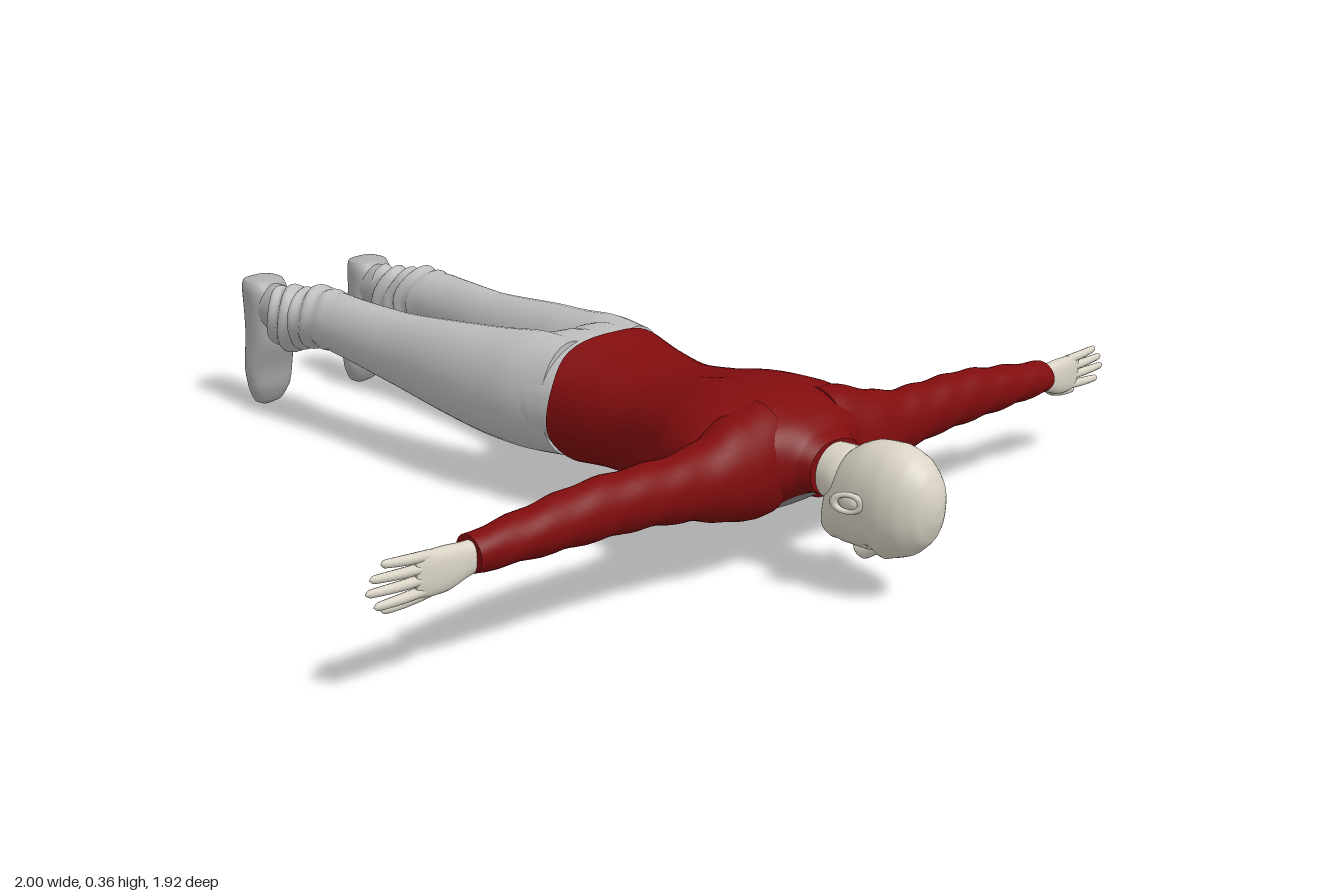
import * as THREE from 'three';

const mat = (name, color) => {
  const m = new THREE.MeshStandardMaterial({ color, side: THREE.DoubleSide });
  m.name = name;
  return m;
};

const AXES = { x: ['x', 'y', 'z'], y: ['y', 'z', 'x'], z: ['z', 'x', 'y'] };

// Smooth loft of oval rings along an axis.
// Each section is [x, y, z, radiusU, radiusV]; u,v are y,z for x, z,x for y and x,y for z.
function loft(axis, sections, { seg = 32, steps = 6, power = 2, bend, paint } = {}) {
  const [n, u, v] = AXES[axis];
  const rows = (sections.length - 1) * steps;
  const centre = new THREE.CatmullRomCurve3(sections.map(s => new THREE.Vector3(s[0], s[1], s[2])));
  const radii = new THREE.CatmullRomCurve3(sections.map(s => new THREE.Vector3(s[3], s[4], 0)));
  const pos = [], p = new THREE.Vector3();
  const add = q => pos.push(q.x, q.y, q.z);
  const round = t => Math.sign(t) * Math.abs(t) ** (2 / power);
  const ring = i => {
    const c = centre.getPoint(i / rows), r = radii.getPoint(i / rows);
    for (let j = 0; j < seg; j++) {
      const a = (j / seg) * Math.PI * 2;
      p.copy(c);
      p[u] += Math.max(r.x, 0.0005) * round(Math.cos(a));
      p[v] += Math.max(r.y, 0.0005) * round(Math.sin(a));
      if (bend) bend(p, a, c);
      add(p);
    }
    return c;
  };
  for (let i = 0; i <= rows; i++) ring(i);
  const lists = [[], []];
  const flip = centre.getPoint(1)[n] < centre.getPoint(0)[n];
  const tri = (k, a, b, c) => lists[k].push(a, flip ? c : b, flip ? b : c);
  for (let i = 0; i < rows; i++) for (let j = 0; j < seg; j++) {
    const k = paint && paint((j + 0.5) / seg * Math.PI * 2) ? 1 : 0;
    const a = i * seg + j, b = i * seg + (j + 1) % seg;
    tri(k, a, b, a + seg);
    tri(k, b, b + seg, a + seg);
  }
  // end caps with their own vertices, so that rims stay sharp
  for (const i of [0, rows]) {
    const start = pos.length / 3;
    add(ring(i));
    for (let j = 0; j < seg; j++) {
      const a = start + j, b = start + (j + 1) % seg;
      i ? tri(0, a, b, start + seg) : tri(0, b, a, start + seg);
    }
  }
  const g = new THREE.BufferGeometry();
  g.setAttribute('position', new THREE.Float32BufferAttribute(pos, 3));
  g.setIndex([...lists[0], ...lists[1]]);
  if (paint) {
    g.addGroup(0, lists[0].length, 0);
    g.addGroup(lists[0].length, lists[1].length, 1);
  }
  g.computeVertexNormals();
  return g;
}

const bump = (d, w) => Math.exp(-(d * d) / (w * w));

export function createModel() {
  const model = new THREE.Group();
  const skin = mat('skin', 0xd9d3c5);
  const jacket = mat('jacket red', 0x800c0e);
  const trousers = mat('trouser grey', 0xbdbdbd);
  const shoe = mat('shoe grey', 0xacacac);
  const shirt = mat('shirt grey', 0x909090);
  const put = (name, geo, m, parent = model) => {
    const mesh = new THREE.Mesh(geo, m);
    mesh.name = name;
    parent.add(mesh);
    return mesh;
  };
  const ball = (name, x, y, z, rx, ry, rz, parent) => {
    const mesh = put(name, new THREE.SphereGeometry(1, 20, 14), skin, parent);
    mesh.position.set(x, y, z);
    mesh.scale.set(rx, ry, rz);
    return mesh;
  };

  // Jacket body, with the open front showing a strip of shirt
  put('jacketBody', loft('z', [
    [0, 0.225, 0.125, 0.181, 0.137], [0, 0.218, 0.2, 0.165, 0.124], [0, 0.21, 0.3, 0.153, 0.117],
    [0, 0.21, 0.4, 0.178, 0.123], [0, 0.213, 0.48, 0.215, 0.132], [0, 0.218, 0.56, 0.235, 0.125],
    [0, 0.224, 0.62, 0.215, 0.105], [0, 0.23, 0.67, 0.15, 0.075], [0, 0.226, 0.7, 0.085, 0.058],
    [0, 0.22, 0.725, 0.07, 0.052],
  ], {
    seg: 48, power: 2.25,
    bend: (p, a) => {
      p.z += 0.006 * Math.sin(a * 5) * bump(p.z - 0.125, 0.05);
      p.y -= 0.008 * bump(p.x, 0.03) * (p.y > 0.25 ? 1 : 0) * bump(p.z - 0.42, 0.2);
    },
    paint: a => Math.abs(a - Math.PI * 1.5) < 0.25,
  }), [jacket, shirt]);

  // Neck and head, face down
  put('neck', loft('z', [
    [0, 0.215, 0.67, 0.058, 0.05], [0, 0.214, 0.72, 0.056, 0.053], [0, 0.207, 0.76, 0.06, 0.061],
    [0, 0.2, 0.8, 0.05, 0.06],
  ]), skin);
  const head = new THREE.Group();
  head.name = 'head';
  model.add(head);
  put('skull', loft('z', [
    [0, 0.115, 0.718, 0.012, 0.01], [0, 0.125, 0.724, 0.034, 0.03], [0, 0.155, 0.742, 0.053, 0.068],
    [0, 0.178, 0.775, 0.066, 0.092], [0, 0.19, 0.82, 0.074, 0.104], [0, 0.192, 0.87, 0.076, 0.107],
    [0, 0.193, 0.915, 0.066, 0.094], [0, 0.195, 0.946, 0.045, 0.066], [0, 0.197, 0.961, 0.02, 0.03],
    [0, 0.197, 0.965, 0.001, 0.001],
  ], {
    seg: 48, power: 2.1,
    bend: p => {
      if (p.y > 0.16) return;
      const ax = Math.abs(p.x);
      p.y += 0.012 * bump(ax - 0.03, 0.015) * bump(p.z - 0.842, 0.014); // eye sockets
      p.y -= 0.006 * bump(ax - 0.028, 0.025) * bump(p.z - 0.866, 0.01); // brows
      p.y += 0.005 * bump(ax, 0.03) * bump(p.z - 0.757, 0.005);         // mouth line
    },
  }), skin, head);
  put('nose', loft('z', [
    [0, 0.094, 0.784, 0.009, 0.006], [0, 0.085, 0.79, 0.018, 0.016], [0, 0.08, 0.802, 0.015, 0.019],
    [0, 0.09, 0.83, 0.009, 0.014], [0, 0.098, 0.858, 0.006, 0.008],
  ], { seg: 16 }), skin, head);
  ball('upperLip', 0, 0.1, 0.764, 0.024, 0.012, 0.006, head);
  ball('lowerLip', 0, 0.104, 0.75, 0.02, 0.011, 0.006, head);
  ball('chin', 0, 0.112, 0.731, 0.024, 0.016, 0.013, head);

  for (const s of [1, -1]) {
    const side = s > 0 ? 'left' : 'right';
    const group = part => {
      const g = new THREE.Group();
      g.name = side + part;
      model.add(g);
      return g;
    };

    // Eye and ear
    ball(side + 'Eye', s * 0.03, 0.107, 0.842, 0.013, 0.01, 0.008, head);
    const ear = put(side + 'Ear', new THREE.TorusGeometry(0.019, 0.006, 8, 24), skin, head);
    ear.position.set(s * 0.083, 0.194, 0.825);
    ear.rotation.set(0, Math.PI / 2 - s * 0.4, 0);
    ear.scale.set(1.35, 0.85, 1);
    ball(side + 'EarInner', s * 0.079, 0.194, 0.823, 0.007, 0.015, 0.022, head);

    // Sleeve
    const arm = group('Arm');
    put('sleeve', loft('x', [
      [s * 0.08, 0.222, 0.6, 0.11, 0.085], [s * 0.16, 0.22, 0.61, 0.1, 0.078],
      [s * 0.22, 0.219, 0.618, 0.081, 0.066], [s * 0.3, 0.222, 0.622, 0.064, 0.054],
      [s * 0.4, 0.227, 0.62, 0.057, 0.051], [s * 0.52, 0.228, 0.617, 0.054, 0.048],
      [s * 0.64, 0.223, 0.616, 0.045, 0.045], [s * 0.785, 0.218, 0.618, 0.034, 0.034],
    ], { bend: (p, a) => { p.y += 0.002 * Math.sin(p.x * 60 + a * 2); } }), jacket, arm);

    // Hand, palm towards the feet
    put('palm', loft('x', [
      [s * 0.765, 0.217, 0.62, 0.026, 0.02], [s * 0.8, 0.213, 0.621, 0.031, 0.018],
      [s * 0.84, 0.209, 0.622, 0.039, 0.017], [s * 0.885, 0.21, 0.623, 0.039, 0.012],
      [s * 0.902, 0.212, 0.624, 0.032, 0.006],
    ], { seg: 24, power: 2.5 }), skin, arm);
    [[0.24, 0.249, 0.968], [0.221, 0.228, 0.991], [0.202, 0.206, 1], [0.183, 0.18, 0.984]].forEach(([y0, y1, tip], i) => {
      const f = t => s * THREE.MathUtils.lerp(0.87, tip, t);
      const y = t => THREE.MathUtils.lerp(y0, y1, t);
      put('finger' + (i + 1), loft('x', [
        [f(0), y(0), 0.622, 0.0095, 0.01], [f(0.5), y(0.5), 0.625, 0.009, 0.009],
        [f(0.93), y(0.93), 0.624, 0.007, 0.006], [f(1), y(1), 0.624, 0.001, 0.001],
      ], { seg: 12, steps: 4 }), skin, arm);
    });
    put('thumb', loft('x', [
      [s * 0.8, 0.197, 0.615, 0.015, 0.015], [s * 0.85, 0.174, 0.602, 0.014, 0.014],
      [s * 0.9, 0.159, 0.594, 0.01, 0.009], [s * 0.94, 0.155, 0.592, 0.007, 0.006],
      [s * 0.947, 0.155, 0.592, 0.001, 0.001],
    ], { seg: 12, steps: 4 }), skin, arm);

    // Trouser leg, bunched into folds above the shoe
    const leg = group('Leg');
    put('trouserLeg', loft('z', [
      [s * 0.09, 0.23, 0.1, 0.085, 0.12], [s * 0.1, 0.229, 0.0, 0.098, 0.125],
      [s * 0.112, 0.227, -0.1, 0.092, 0.117], [s * 0.125, 0.231, -0.2, 0.079, 0.106],
      [s * 0.136, 0.24, -0.4, 0.062, 0.083], [s * 0.145, 0.254, -0.55, 0.059, 0.072],
      [s * 0.147, 0.262, -0.66, 0.064, 0.068], [s * 0.149, 0.258, -0.71, 0.066, 0.069],
      [s * 0.148, 0.246, -0.75, 0.054, 0.068], [s * 0.148, 0.238, -0.79, 0.056, 0.074],
      [s * 0.148, 0.235, -0.835, 0.05, 0.073],
    ], {
      steps: 8,
      bend: (p, a, c) => {
        const k = 1 + 0.1 * THREE.MathUtils.smoothstep(-p.z, 0.58, 0.72)
          * Math.sin(p.z * 125 + s + 2 * Math.sin(a * 2 + s));
        p.x = c.x + (p.x - c.x) * k;
        p.y = c.y + (p.y - c.y) * k;
      },
    }), trousers, leg);

    // Shoe, toe pointing down
    put('ankle', loft('z', [
      [s * 0.148, 0.245, -0.78, 0.044, 0.055], [s * 0.148, 0.248, -0.84, 0.046, 0.058],
      [s * 0.15, 0.25, -0.9, 0.045, 0.058],
    ]), shoe, leg);
    put('shoe', loft('y', [
      [s * 0.14, 0, -0.936, 0.003, 0.01], [s * 0.14, 0.012, -0.931, 0.019, 0.034],
      [s * 0.14, 0.05, -0.923, 0.032, 0.053], [s * 0.142, 0.1, -0.919, 0.04, 0.059],
      [s * 0.146, 0.17, -0.905, 0.053, 0.053], [s * 0.15, 0.23, -0.904, 0.054, 0.049],
      [s * 0.152, 0.29, -0.907, 0.048, 0.051], [s * 0.152, 0.313, -0.913, 0.038, 0.045],
      [s * 0.152, 0.322, -0.915, 0.01, 0.015],
    ], { power: 2.4 }), shoe, leg);
  }

  // Trouser seat joining the legs
  put('trouserSeat', loft('z', [
    [0, 0.225, 0.16, 0.165, 0.122], [0, 0.229, 0.1, 0.178, 0.127], [0, 0.23, 0.04, 0.188, 0.127],
    [0, 0.23, -0.01, 0.17, 0.115], [0, 0.23, -0.045, 0.11, 0.09], [0, 0.23, -0.06, 0.03, 0.03],
  ], {
    seg: 48, power: 2.2,
    bend: p => { if (p.y > 0.25) p.y -= 0.014 * bump(p.x, 0.025) * bump(p.z + 0.02, 0.08); },
  }), trousers);

  return model;
}
